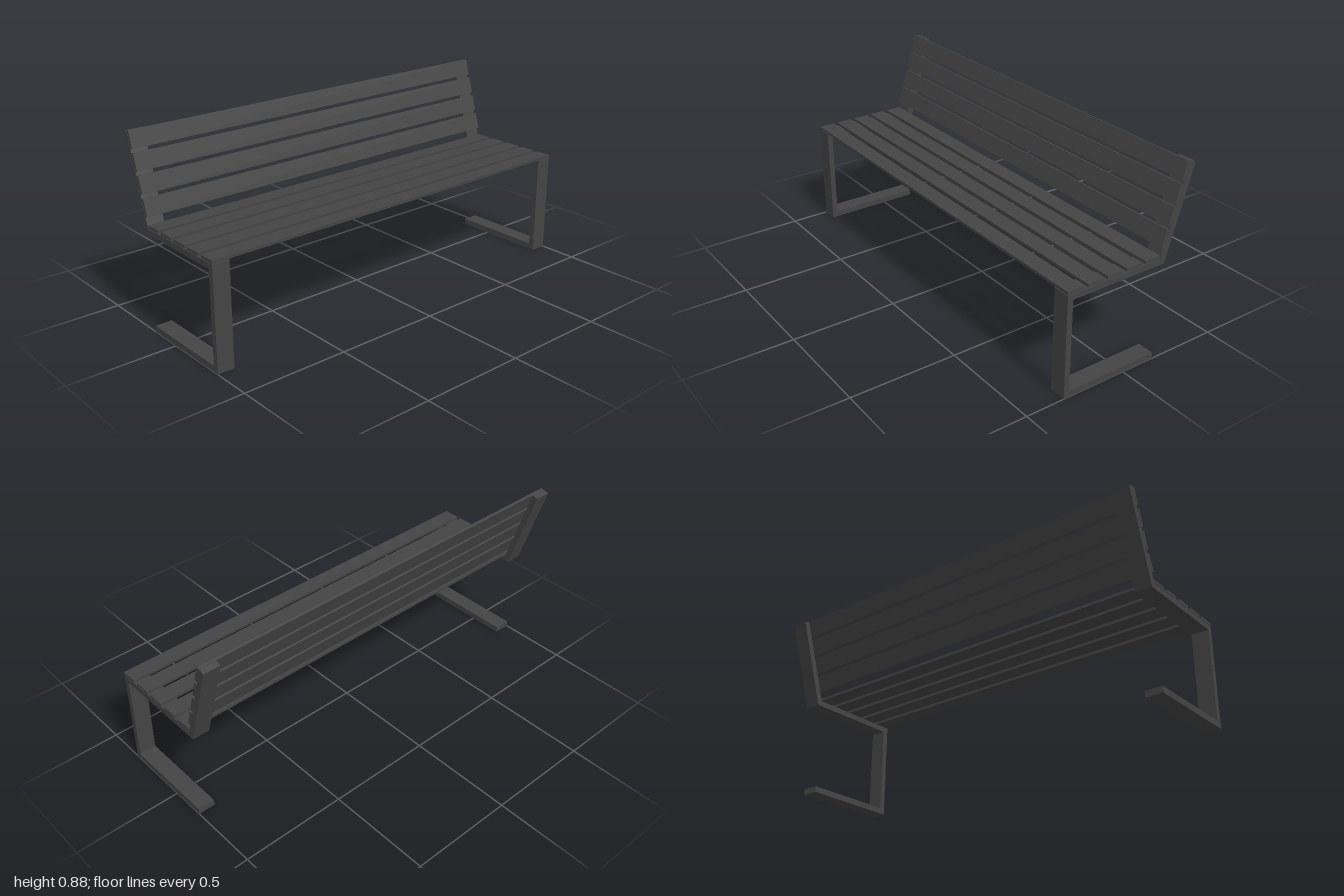
import * as THREE from 'three';

export function createModel() {
  const bench = new THREE.Group();
  bench.name = 'bench';
  const charcoal = new THREE.MeshStandardMaterial({ color: 0x444444 });
  charcoal.name = 'charcoal';

  const lean = 0.2995; // backward tilt of the backrest
  const up = [-Math.sin(lean), Math.cos(lean)]; // along the backrest, as (z, y)
  const out = [Math.cos(lean), Math.sin(lean)]; // out of its front face, as (z, y)

  // Side frames: one bent flat bar, drawn in (z, y) and extruded across x
  const barWidth = 0.08;
  const profile = new THREE.Shape([
    [0.315, 0], [0.315, 0.479], [-0.166, 0.479], [-0.289, 0.878],
    [-0.316, 0.87], [-0.187, 0.452], [0.288, 0.452], [0.288, 0.029],
    [-0.164, 0.029], [-0.164, 0],
  ].map(([z, y]) => new THREE.Vector2(z, y)));
  const frameGeometry = new THREE.ExtrudeGeometry(profile, { depth: barWidth, bevelEnabled: false });
  frameGeometry.rotateY(-Math.PI / 2);
  for (const [name, x] of [['leftFrame', 1], ['rightFrame', -1 + barWidth]]) {
    const frame = new THREE.Mesh(frameGeometry, charcoal);
    frame.name = name;
    frame.position.x = x;
    bench.add(frame);
  }

  // Seat slats
  const seat = new THREE.Group();
  seat.name = 'seatSlats';
  const seatGeometry = new THREE.BoxGeometry(2, 0.013, 0.078);
  for (let i = 0; i < 5; i++) {
    const slat = new THREE.Mesh(seatGeometry, charcoal);
    slat.name = `seatSlat${i + 1}`;
    slat.position.set(0, 0.4885, 0.276 - i * 0.1);
    seat.add(slat);
  }
  bench.add(seat);

  // Backrest slats, stepped up the tilted frame
  const back = new THREE.Group();
  back.name = 'backSlats';
  const thickness = 0.013;
  const backGeometry = new THREE.BoxGeometry(2, 0.08, thickness);
  for (let i = 0; i < 4; i++) {
    const along = 0.04 + i * 0.0962;
    const slat = new THREE.Mesh(backGeometry, charcoal);
    slat.name = `backSlat${i + 1}`;
    slat.position.set(
      0,
      0.529 + along * up[1] - out[1] * thickness / 2,
      -0.166 + along * up[0] - out[0] * thickness / 2,
    );
    slat.rotation.x = -lean;
    back.add(slat);
  }
  bench.add(back);

  return bench;
}
